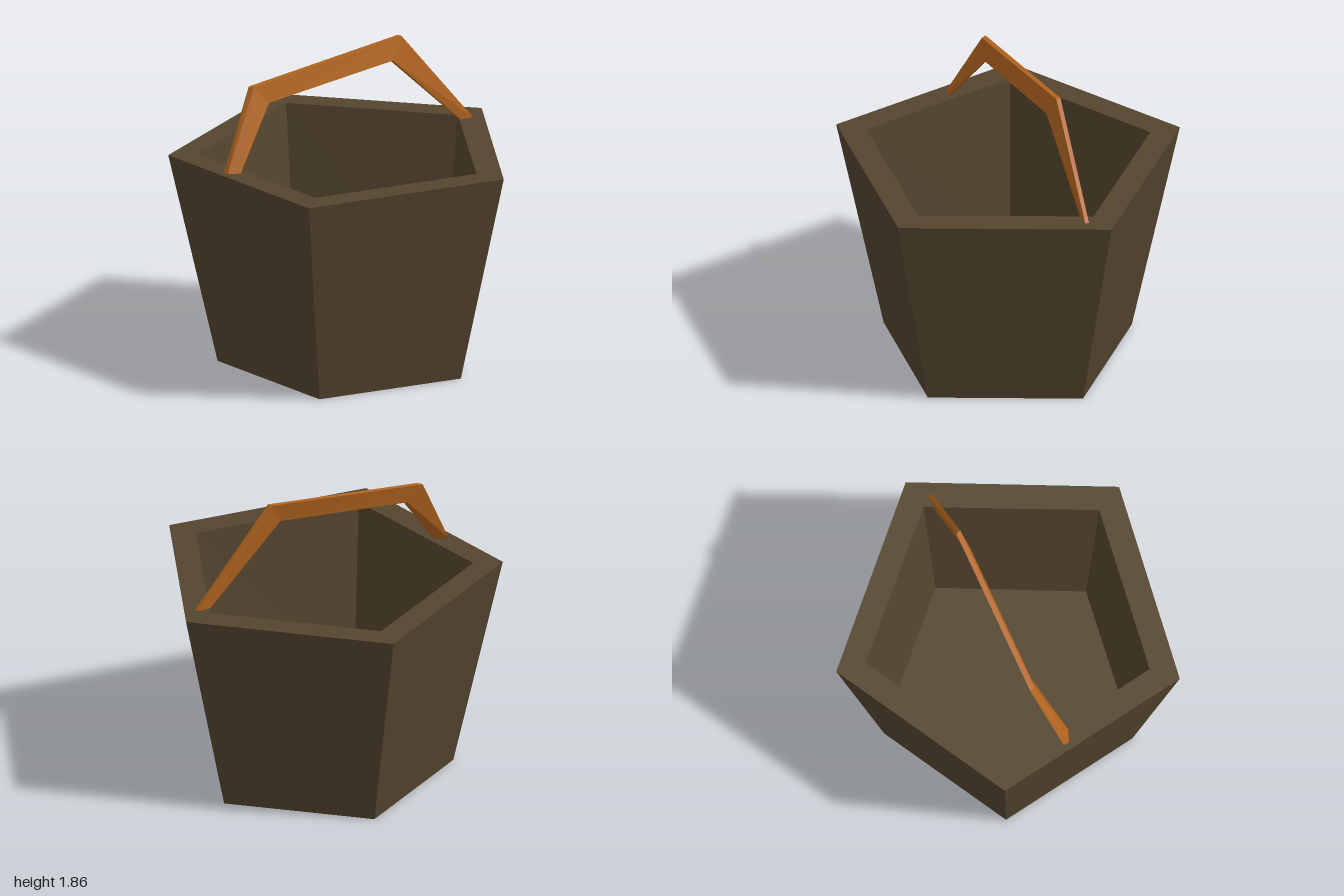
import * as THREE from 'three';

// Skins a sequence of closed rings of [x, y, z] points with flat faces and caps both ends.
function loft(rings) {
  const pos = [];
  const tri = (a, b, c) => pos.push(...a, ...b, ...c);
  const n = rings[0].length;
  for (let r = 0; r < rings.length - 1; r++) {
    for (let i = 0; i < n; i++) {
      const j = (i + 1) % n;
      const a = rings[r][i], b = rings[r][j], c = rings[r + 1][j], d = rings[r + 1][i];
      tri(a, d, c);
      tri(a, c, b);
    }
  }
  const first = rings[0], last = rings[rings.length - 1];
  for (let i = 1; i < n - 1; i++) {
    tri(first[0], first[i], first[i + 1]);
    tri(last[0], last[i + 1], last[i]);
  }
  const geometry = new THREE.BufferGeometry();
  geometry.setAttribute('position', new THREE.Float32BufferAttribute(pos, 3));
  geometry.computeVertexNormals();
  return geometry;
}

export function createModel() {
  const group = new THREE.Group();
  group.name = 'bucket';

  const darkWood = new THREE.MeshStandardMaterial({ color: 0x54452f });
  darkWood.name = 'darkWood';
  const orangeWood = new THREE.MeshStandardMaterial({ color: 0xb3651f });
  orangeWood.name = 'orangeWood';

  // Tapered five-sided pail: outer wall, rim, inner wall, floor
  const ring = (y, points) => points.map(([x, z]) => [x, y, z]);
  const pail = new THREE.Mesh(loft([
    ring(0, [[0.67, -0.02], [0.17, 0.73], [-0.69, 0.48], [-0.72, -0.41], [0.11, -0.72]]),
    ring(1.28, [[0.96, -0.03], [0.27, 1.0], [-0.92, 0.66], [-0.96, -0.57], [0.19, -1.0]]),
    ring(1.28, [[0.775, -0.025], [0.21, 0.825], [-0.775, 0.545], [-0.815, -0.475], [0.145, -0.825]]),
    ring(0.18, [[0.655, -0.02], [0.165, 0.705], [-0.68, 0.47], [-0.71, -0.405], [0.11, -0.705]]),
  ]), darkWood);
  pail.name = 'pail';
  group.add(pail);

  // Bent handle: outer and inner front edge at each bend, plus the offset to the back edge
  const bends = [
    { outer: [-0.905, 1.28, -0.095], inner: [-0.84, 1.28, -0.055], back: [0, -0.035] },
    { outer: [-0.645, 1.735, -0.17], inner: [-0.56, 1.63, -0.135], back: [-0.012, -0.033] },
    { outer: [0.36, 1.86, -0.037], inner: [0.28, 1.73, -0.02], back: [-0.004, -0.03] },
    { outer: [0.82, 1.28, 0.06], inner: [0.74, 1.28, 0.045], back: [0, -0.025] },
  ];
  const handle = new THREE.Mesh(loft(bends.map(({ outer, inner, back }) => {
    const toBack = ([x, y, z]) => [x + back[0], y, z + back[1]];
    return [outer, toBack(outer), toBack(inner), inner];
  })), orangeWood);
  handle.name = 'handle';
  group.add(handle);

  return group;
}
